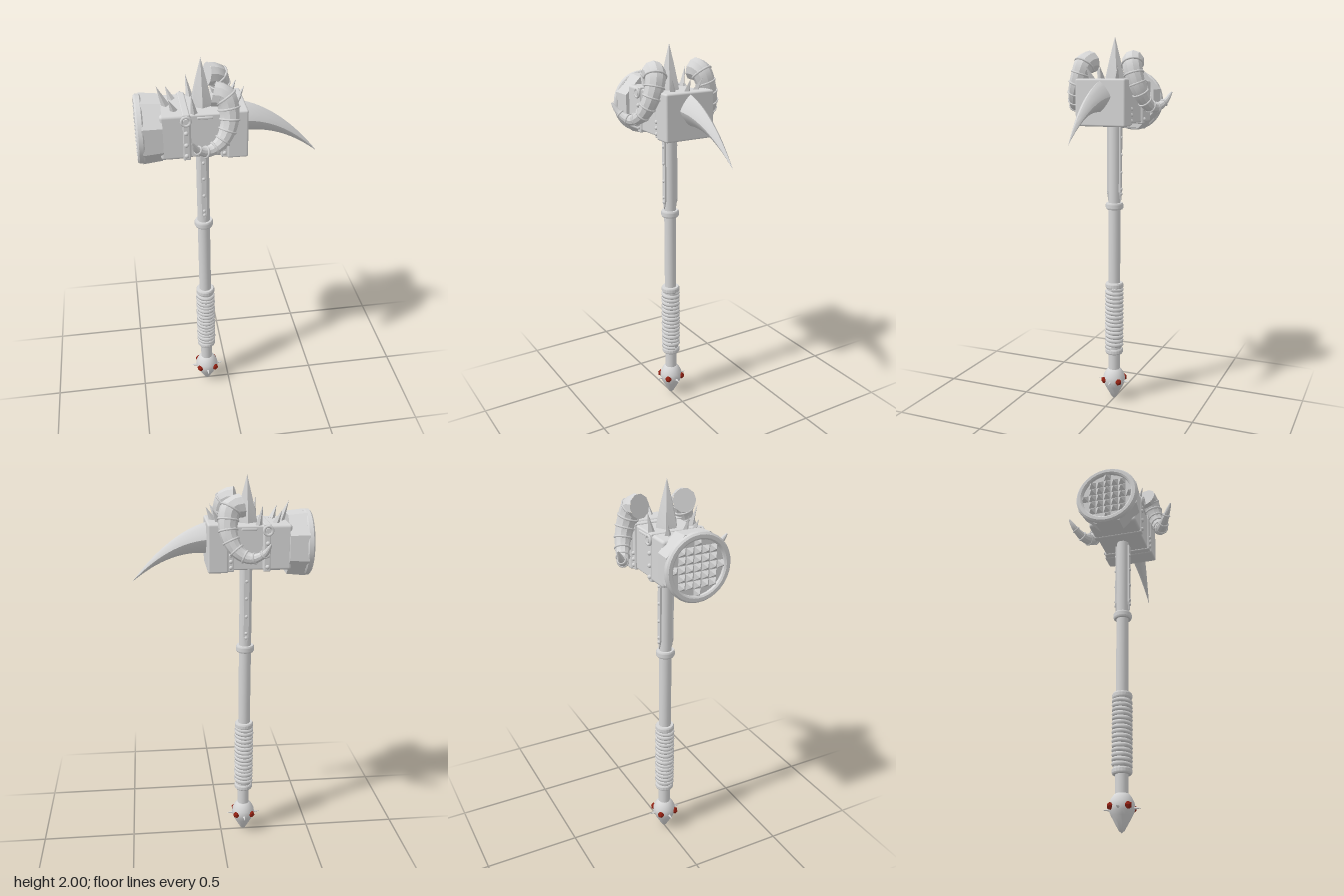
import * as THREE from 'three';
import { toCreasedNormals } from 'three/addons/utils/BufferGeometryUtils.js';
import { RoundedBoxGeometry } from 'three/addons/geometries/RoundedBoxGeometry.js';

const V = (x, y, z) => new THREE.Vector3(x, y, z);
const AXIS = -0.127; // x of the handle
const HEAD_Y = 1.667;

export function createModel() {
  const root = new THREE.Group();
  const steel = new THREE.MeshStandardMaterial({ color: 0xd6d6d6 });
  steel.name = 'steel';
  const ruby = new THREE.MeshStandardMaterial({ color: 0x8f2012 });
  ruby.name = 'ruby';

  const add = (name, geo, x = 0, y = 0, z = 0, mat = steel) => {
    const m = new THREE.Mesh(geo, mat);
    m.name = name;
    m.position.set(x, y, z);
    root.add(m);
    return m;
  };
  const box = (name, w, h, d, x, y, z, r = 0.008) =>
    add(name, new RoundedBoxGeometry(w, h, d, 2, r), x, y, z);
  // pointed spike running from a base point to a tip
  const spike = (name, base, tip, r, sides = 4, twist = 0) => {
    const len = base.distanceTo(tip);
    const geo = new THREE.ConeGeometry(r, len, sides).rotateY(twist).translate(0, len / 2, 0);
    const m = add(name, toCreasedNormals(geo, 0.4), base.x, base.y, base.z);
    m.quaternion.setFromUnitVectors(V(0, 1, 0), tip.clone().sub(base).normalize());
    return m;
  };
  const lathe = (name, pts, sides, x, y) =>
    add(name, toCreasedNormals(new THREE.LatheGeometry(pts.map(p => new THREE.Vector2(...p)), sides), 0.6), x, y, 0);

  // ---- handle ----
  add('shaft', new THREE.CylinderGeometry(0.032, 0.032, 1.42, 16), AXIS, 0.87, 0);
  const collar = (y, h, r) => lathe('collar',
    [[0.03, -h / 2], [r - 0.005, -h / 2], [r, -h / 4], [r, h / 4], [r - 0.005, h / 2], [0.03, h / 2]], 20, AXIS, y);
  collar(1.113, 0.036, 0.048);
  collar(0.668, 0.032, 0.05);
  collar(0.288, 0.03, 0.05);
  add('gripCore', new THREE.CylinderGeometry(0.042, 0.042, 0.36, 16), AXIS, 0.478, 0);
  const TURNS = 15, coil = [];
  for (let i = 0; i <= TURNS * 12; i++) {
    const a = (i / 12) * Math.PI * 2;
    coil.push(V(Math.cos(a) * 0.04, 0.308 + 0.342 * i / (TURNS * 12), Math.sin(a) * 0.04));
  }
  add('gripWrap', new THREE.TubeGeometry(new THREE.CatmullRomCurve3(coil), TURNS * 24, 0.0125, 6), AXIS, 0, 0);

  // ---- pommel ----
  lathe('pommel', [[0, 0], [0.013, 0.01], [0.03, 0.04], [0.05, 0.077], [0.06, 0.1], [0.063, 0.118], [0.06, 0.138],
    [0.05, 0.16], [0.038, 0.177], [0.03, 0.182]], 20, AXIS, 0);
  for (let i = 0; i < 4; i++) {
    const a = i * Math.PI / 2, b = a + Math.PI / 4;
    spike('pommelSpike', V(AXIS + Math.cos(a) * 0.05, 0.11, Math.sin(a) * 0.05),
      V(AXIS + Math.cos(a) * 0.097, 0.11, Math.sin(a) * 0.097), 0.009, 8);
    add('pommelGem', new THREE.IcosahedronGeometry(0.02, 0),
      AXIS + Math.cos(b) * 0.06, 0.118, Math.sin(b) * 0.06, ruby);
  }

  // ---- riveted straps on the upper shaft ----
  const strap = new THREE.Shape();
  strap.moveTo(0, 1.14); strap.lineTo(0.013, 1.19); strap.lineTo(0.013, 1.54);
  strap.lineTo(-0.013, 1.54); strap.lineTo(-0.013, 1.19); strap.closePath();
  for (const s of [1, -1]) {
    add('shaftStrap', new THREE.ExtrudeGeometry(strap, { depth: 0.012, bevelEnabled: false }),
      AXIS, 0, s > 0 ? 0.026 : -0.038);
    for (const y of [1.18, 1.205, 1.295, 1.39, 1.48])
      add('strapRivet', new THREE.SphereGeometry(0.009, 8, 6), AXIS, y, s * 0.037);
  }

  // ---- head block ----
  box('headCore', 0.3, 0.215, 0.24, -0.11, HEAD_Y, 0);
  box('headFrontBlock', 0.145, 0.222, 0.256, -0.262, HEAD_Y, 0, 0.014);
  box('headRearBlock', 0.1, 0.238, 0.272, 0.026, HEAD_Y + 0.001, 0, 0.01);
  box('headRearStep', 0.035, 0.228, 0.256, -0.035, HEAD_Y, 0, 0.006);
  box('headBand', 0.034, 0.232, 0.264, -0.213, HEAD_Y, 0, 0.006);
  for (const s of [1, -1]) {
    add('bandRing', new THREE.TorusGeometry(0.021, 0.007, 8, 18), -0.215, 1.753, s * 0.139);
    const pin = add('bandPin', new THREE.CylinderGeometry(0.013, 0.013, 0.02, 12), -0.215, 1.753, s * 0.135);
    pin.rotation.x = Math.PI / 2;
    for (const y of [1.575, 1.63, 1.69])
      add('bandRivet', new THREE.SphereGeometry(0.011, 10, 8), -0.215, y, s * 0.132);
    for (const y of [1.575, 1.605, 1.635])
      add('stepRivet', new THREE.SphereGeometry(0.01, 10, 8), -0.036, y, s * 0.128);
    box('sidePlate', 0.075, 0.012, 0.012, -0.125, 1.757, s * 0.12, 0.004);
  }

  // ---- striking drum, flange and studded face ----
  const drum = new THREE.CylinderGeometry(0.158, 0.168, 0.095, 8, 1)
    .rotateY(Math.PI / 8).rotateZ(-Math.PI / 2);
  add('drum', toCreasedNormals(drum, 0.5), -0.37, HEAD_Y, 0);
  const flange = lathe('flange', [[0.132, -0.012], [0.157, -0.016], [0.164, -0.01], [0.164, 0.01],
    [0.156, 0.018], [0.14, 0.018], [0.132, 0.012], [0.132, -0.012]], 32, -0.424, HEAD_Y);
  flange.rotation.z = Math.PI / 2;
  const face = add('strikingFace', new THREE.CylinderGeometry(0.138, 0.138, 0.012, 32), -0.416, HEAD_Y, 0);
  face.rotation.z = Math.PI / 2;
  const pitch = 0.04;
  for (let i = -3; i <= 3; i++)
    for (let j = -3; j <= 3; j++) {
      if (Math.hypot(i, j) * pitch > 0.122) continue;
      const y = HEAD_Y + i * pitch, z = j * pitch;
      spike('faceStud', V(-0.421, y, z), V(-0.447, y, z), 0.027, 4, Math.PI / 4);
    }

  // ---- curved claw: a tapering, drooping, almond section ----
  const claw = new THREE.CylinderGeometry(1, 1, 1, 20, 18);
  const p = claw.attributes.position;
  const sharp = c => Math.sign(c) * Math.pow(Math.abs(c), 1.6);
  for (let i = 0; i < p.count; i++) {
    const t = p.getY(i) + 0.5, up = p.getX(i), side = p.getZ(i), k = 1 - t;
    p.setXYZ(i, 0.06 + 0.384 * t, 1.7 - 0.025 * t - 0.19 * t * t + sharp(up) * 0.08 * Math.pow(k, 0.92),
      -sharp(side) * 0.062 * k);
  }
  add('claw', toCreasedNormals(claw, 0.6));

  // ---- spikes on top ----
  lathe('crownSpike', [[0.057, 0], [0.053, 0.03], [0.03, 0.125], [0, 0.235]], 6, AXIS, 1.765);
  spike('topSpike', V(-0.295, 1.775, 0), V(-0.335, 1.875, 0), 0.02);
  spike('topSpike', V(0.04, 1.78, 0), V(0.075, 1.85, 0), 0.018);
  for (const s of [1, -1]) {
    spike('topSpike', V(-0.262, 1.775, s * 0.065), V(-0.288, 1.84, s * 0.08), 0.018);
    spike('topSpike', V(-0.172, 1.765, s * 0.1), V(-0.187, 1.875, s * 0.13), 0.018);
    spike('topSpike', V(0.015, 1.78, s * 0.065), V(0.05, 1.85, s * 0.087), 0.018);
  }

  // ---- curled horns with rings ----
  const SEG = 28;
  const radius = t => 0.004 + 0.054 * Math.pow(1 - t, 0.72);
  for (const s of [1, -1]) {
    const curve = new THREE.CatmullRomCurve3([
      V(-0.085, 1.872, s * 0.118), V(-0.038, 1.862, s * 0.13), V(-0.018, 1.80, s * 0.15),
      V(-0.025, 1.73, s * 0.175), V(-0.065, 1.665, s * 0.2), V(-0.125, 1.64, s * 0.225),
      V(-0.18, 1.67, s * 0.26), V(-0.205, 1.72, s * 0.288)]);
    const horn = new THREE.TubeGeometry(curve, SEG, 1, 10);
    const hp = horn.attributes.position, v = V(0, 0, 0);
    for (let i = 0; i < hp.count; i++) {
      const t = Math.floor(i / 11) / SEG, c = curve.getPointAt(t);
      v.fromBufferAttribute(hp, i).sub(c).multiplyScalar(radius(t)).add(c);
      hp.setXYZ(i, v.x, v.y, v.z);
    }
    add('horn', toCreasedNormals(horn, 0.5));
    const start = curve.getPointAt(0);
    const cap = add('hornCap', new THREE.CircleGeometry(radius(0), 10), start.x, start.y, start.z);
    cap.lookAt(start.clone().sub(curve.getTangentAt(0)));
    for (let i = 0; i < 8; i++) {
      const t = 0.12 + i * 0.105, c = curve.getPointAt(t);
      const ring = add('hornRing', new THREE.TorusGeometry(radius(t), 0.0055, 6, 16), c.x, c.y, c.z);
      ring.lookAt(c.clone().add(curve.getTangentAt(t)));
    }
  }
  return root;
}
